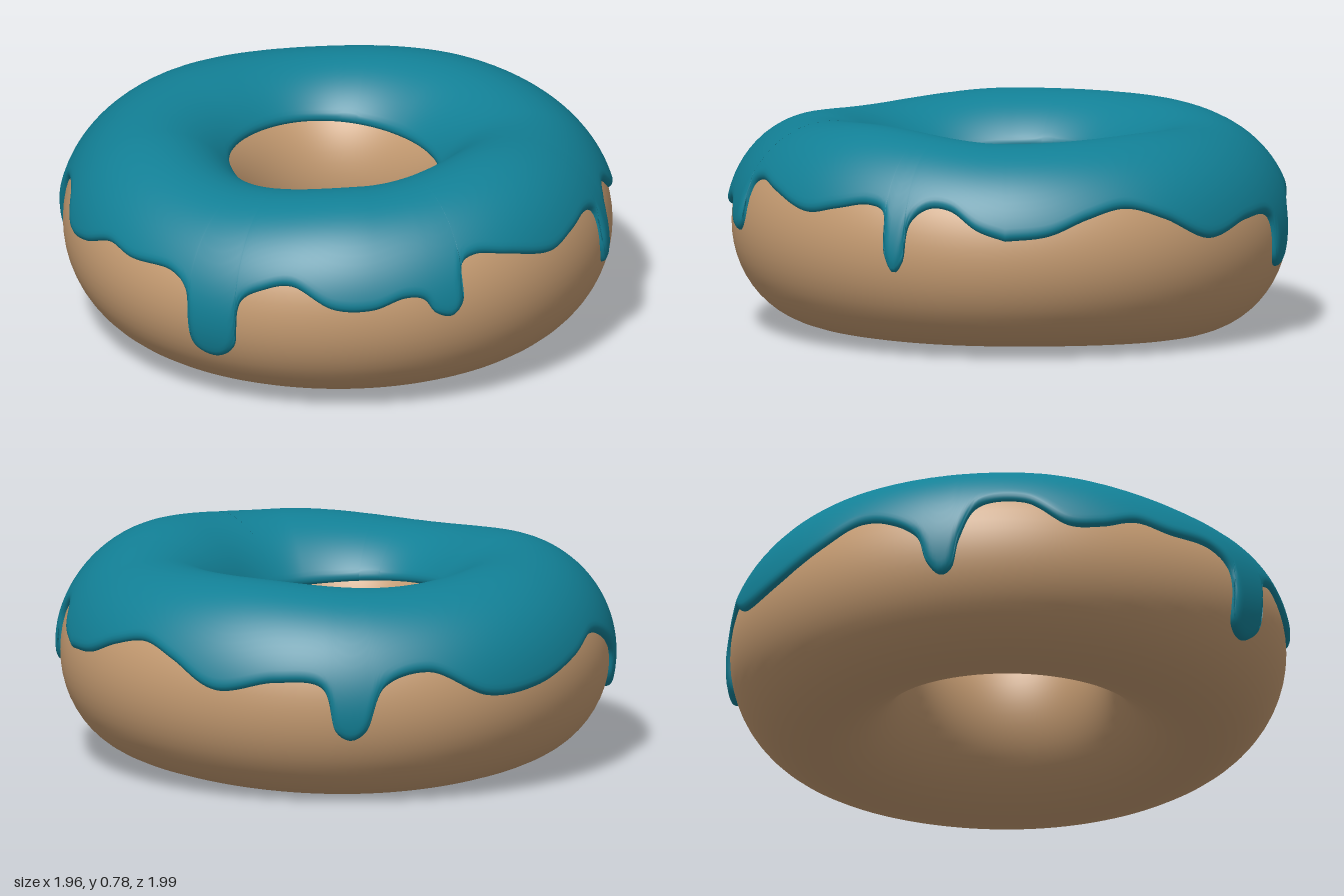
import * as THREE from 'three';

const RAD = Math.PI / 180;

// Height of the ring's crown every 45 degrees (angle runs from +x towards +z)
const CROWN = [0.745, 0.785, 0.752, 0.718, 0.75, 0.752, 0.732, 0.755];
const ICING = 0.022;

// Lower outer edge of the icing: angle in degrees, height
const EDGE = [
  [0, .445], [6, .48], [12, .545], [17, .55], [20.6, .5], [22, .36], [24, .32], [25.8, .38], [27, .53],
  [31, .553], [39, .53], [47, .505], [59, .55], [67, .575], [70.8, .55], [71.7, .42], [74, .38], [77.5, .4],
  [80, .455], [84, .465], [91, .43], [99, .435], [108, .51], [114, .49], [118.8, .44], [120.5, .26],
  [124.6, .21], [129.5, .24], [131.5, .44], [136, .49], [148, .485], [156, .5], [165, .45], [172, .44],
  [181, .53], [191, .51], [195, .38], [197, .27], [199.5, .255], [202, .3], [204, .4], [211, .48],
  [218, .505], [228, .45], [241, .39], [254, .385], [267, .485], [277, .44], [281, .28], [284, .25],
  [287, .28], [290, .44], [300, .455], [313, .415], [324, .5], [333, .545], [342, .515], [351, .46],
];

// Smooth periodic blend between the crown heights
function crown(a) {
  const t = (((a / (Math.PI / 4)) % 8) + 8) % 8;
  const i = Math.floor(t) % 8, f = t - Math.floor(t), s = f * f * (3 - 2 * f);
  return CROWN[i] * (1 - s) + CROWN[(i + 1) % 8] * s;
}

// Elliptical cross-section of the dough at one angle
function section(a) {
  const outer = 0.982 - 0.006 * Math.cos(2 * a);
  const inner = 0.345 - 0.01 * Math.cos(2 * a);
  const top = crown(a) - ICING;
  const bottom = 0.025 - 0.025 * Math.max(0, Math.cos(a - 283 * RAD)) ** 3;
  return { r: (outer + inner) / 2, y: (top + bottom) / 2, w: (outer - inner) / 2, h: (top - bottom) / 2 };
}

// Point on the section, pushed outwards along its normal
function ringPoint(a, phi, offset) {
  const s = section(a), c = Math.cos(phi), n = Math.sin(phi);
  const len = Math.hypot(c / s.w, n / s.h);
  const r = s.r + s.w * c + offset * c / s.w / len;
  return [r * Math.cos(a), s.y + s.h * n + offset * n / s.h / len, r * Math.sin(a)];
}

// Grid closed around the ring, optionally closed around the tube as well
function ringGeometry(cols, rows, closed, point) {
  const pos = [], idx = [];
  for (let i = 0; i < cols; i++) for (let j = 0; j < rows; j++) pos.push(...point(i, j));
  for (let i = 0; i < cols; i++) {
    for (let j = 0; j < (closed ? rows : rows - 1); j++) {
      const k = (i + 1) % cols, m = (j + 1) % rows;
      const a = i * rows + j, b = i * rows + m, c = k * rows + j, d = k * rows + m;
      idx.push(a, b, c, c, b, d);
    }
  }
  const g = new THREE.BufferGeometry();
  g.setAttribute('position', new THREE.Float32BufferAttribute(pos, 3));
  g.setIndex(idx);
  g.computeVertexNormals();
  return g;
}

function icingGeometry() {
  // Sample the edge evenly along its length so the drips get enough columns
  const curve = new THREE.CatmullRomCurve3(
    [...EDGE, [360, EDGE[0][1]]].map(([d, y]) => new THREE.Vector3(d * RAD, y, 0)));
  curve.arcLengthDivisions = 2000;
  const cols = 480, rows = 36;
  const samples = curve.getSpacedPoints(cols).slice(0, cols);
  let last = -1;
  const edge = samples.map(({ x, y }) => {
    last = Math.max(x, last + 1e-4);
    const s = section(last);
    return { a: last, start: Math.asin(THREE.MathUtils.clamp((y - s.y) / s.h, -0.95, 0.95)) };
  });
  return ringGeometry(cols, rows, false, (i, j) => {
    const { a, start } = edge[i];
    const s = section(a);
    const innerY = 0.555 - 0.02 * Math.sin(a) - 0.02 * Math.cos(a);
    const end = Math.PI - Math.asin((innerY - s.y) / s.h);
    // Rows crowd towards both rims
    const phi = start + (end - start) * (0.5 - 0.5 * Math.cos(Math.PI * j / (rows - 1)));
    // Round off the thickness by the distance to the nearest rim
    let dist = Math.max(0, end - phi) * 0.34;
    for (let k = -8; k <= 8; k++) {
      const e = edge[(i + k + cols) % cols];
      const da = Math.abs(e.a - a);
      dist = Math.min(dist, Math.hypot(Math.min(da, 2 * Math.PI - da), (phi - e.start) * 0.34));
    }
    const q = 1 - Math.min(1, dist / 0.03);
    return ringPoint(a, phi, -0.003 + (ICING + 0.003) * Math.sqrt(1 - q * q));
  });
}

export function createModel() {
  const group = new THREE.Group();
  group.name = 'ringCake';
  const add = (name, geometry, color) => {
    const mesh = new THREE.Mesh(geometry,
      new THREE.MeshStandardMaterial({ color, side: THREE.DoubleSide }));
    mesh.name = name;
    group.add(mesh);
  };

  // Dough ring
  const cols = 144, rows = 56;
  add('dough', ringGeometry(cols, rows, true,
    (i, j) => ringPoint(i / cols * 2 * Math.PI, j / rows * 2 * Math.PI, 0)), 0xc69c72);

  // Icing shell with drips
  add('icing', icingGeometry(), 0x128096);
  return group;
}
